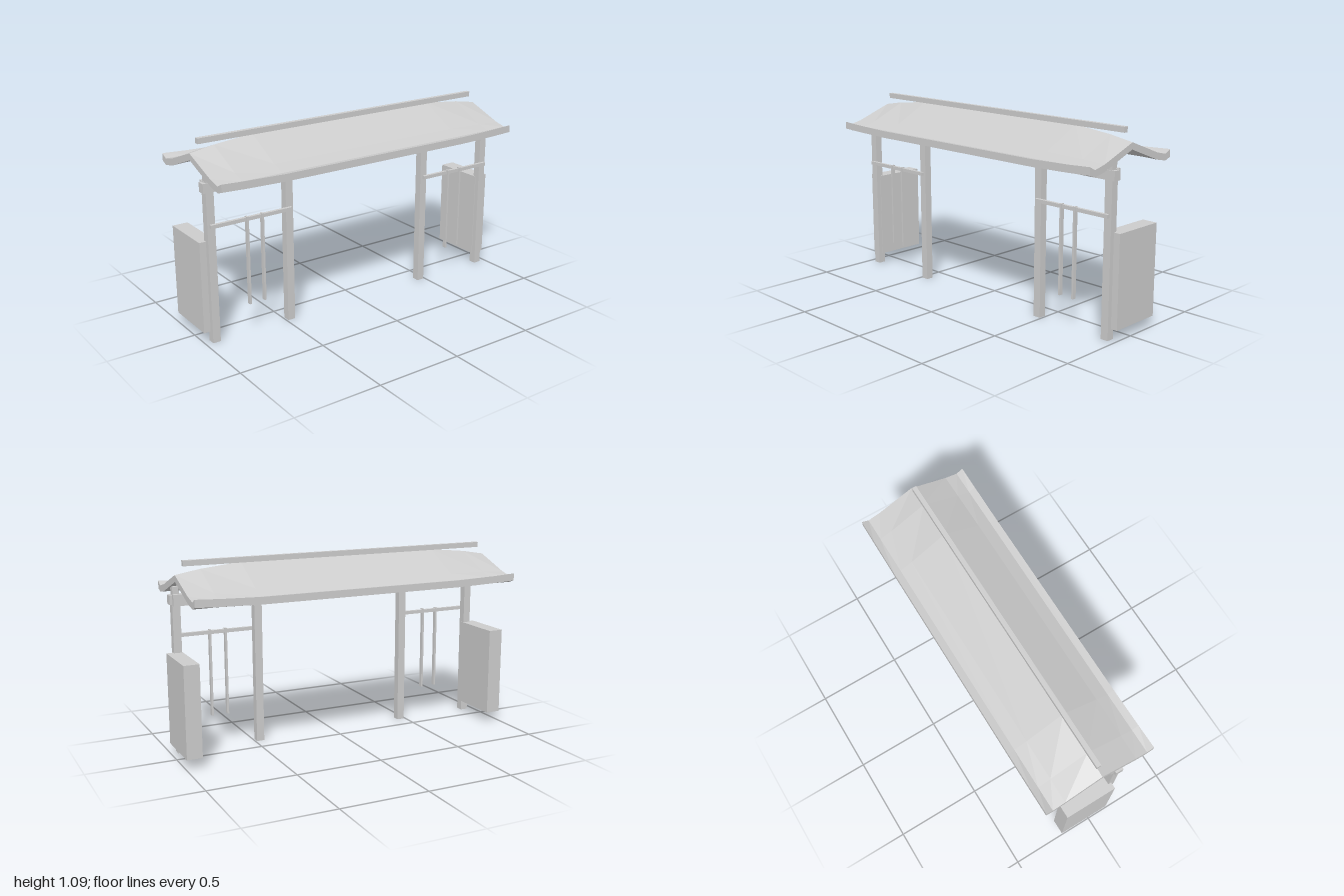
import * as THREE from 'three';

export function createModel() {
  const model = new THREE.Group();
  const grey = new THREE.MeshStandardMaterial({ color: 0xcccccc, flatShading: true });
  grey.name = 'plain grey';

  // Box given by its minimum and maximum corners
  function box(name, x0, x1, y0, y1, z0, z1) {
    const mesh = new THREE.Mesh(new THREE.BoxGeometry(x1 - x0, y1 - y0, z1 - z0), grey);
    mesh.position.set((x0 + x1) / 2, (y0 + y1) / 2, (z0 + z1) / 2);
    mesh.name = name;
    model.add(mesh);
  }

  // Box centred on x
  const bar = (name, x, width, ...rest) => box(name, x - width / 2, x + width / 2, ...rest);

  for (const s of [-1, 1]) {
    // Posts, with a narrower neck up to the roof
    for (const x of [0.939, 0.468]) {
      bar('post', s * x, 0.045, 0, 0.89, 0.0985, 0.142);
      bar('postNeck', s * x, 0.036, 0.89, 0.94, 0.102, 0.139);
    }
    bar('endBlock', s * 0.939, 0.073, 0.843, 0.895, 0.098, 0.143);

    // Rail between the posts with two hanging slats
    bar('rail', s * 0.705, 0.488, 0.652, 0.672, 0.141, 0.159);
    for (const x of [0.738, 0.646]) bar('slat', s * x, 0.012, 0.177, 0.677, 0.143, 0.165);

    // Side panel
    bar('sidePanel', s * 0.956, 0.088, 0.06, 0.575, -0.193, 0.117);
  }

  // Long beam behind the posts and pole above the ridge
  bar('beam', 0, 1.92, 0.837, 0.9, 0.078, 0.12);
  bar('ridgePole', 0, 1.855, 1.064, 1.094, -0.013, 0.013);

  // Roof sections: ridge dips and eaves lift towards the ends (t = 0 middle, 1 end)
  const mix = THREE.MathUtils.lerp;
  function section(t) {
    return [ // z, top y, bottom y
      [0, mix(1.067, 1.02, t), mix(1.03, 0.983, t)],
      [0.217, mix(0.953, 0.939, t), mix(0.915, 0.901, t)],
      [0.29, 0.922, 0.886],
      [0.33, mix(0.928, 0.942, t), mix(0.888, 0.9, t)],
    ];
  }
  function ring(x, t) {
    const half = section(t);
    const across = [
      ...half.slice(1).reverse().map(([z, a, b]) => [-z, a, b]),
      ...half,
    ];
    return across.map(([z, a, b]) => ({
      top: [x, a, z],
      low: [x, b, z],
    }));
  }
  const stations = [[-0.97, 1], [-0.83, 0.5], [-0.6, 0], [0.6, 0], [0.83, 0.5], [0.97, 1]];
  const rings = stations.map(([x, t]) => ring(x, t));
  const pos = [];
  const quad = (a, b, c, d) => pos.push(...a, ...b, ...c, ...a, ...c, ...d);
  const n = rings[0].length;
  for (let i = 0; i < rings.length - 1; i++) {
    const A = rings[i], B = rings[i + 1];
    for (let j = 0; j < n - 1; j++) {
      quad(A[j].top, A[j + 1].top, B[j + 1].top, B[j].top);
      quad(A[j].low, B[j].low, B[j + 1].low, A[j + 1].low);
    }
    // Eave edges, back then front
    quad(A[0].low, A[0].top, B[0].top, B[0].low);
    quad(A[n - 1].low, B[n - 1].low, B[n - 1].top, A[n - 1].top);
  }
  // Gable ends
  const L = rings[0], R = rings[rings.length - 1];
  for (let j = 0; j < n - 1; j++) {
    quad(L[j].low, L[j + 1].low, L[j + 1].top, L[j].top);
    quad(R[j].low, R[j].top, R[j + 1].top, R[j + 1].low);
  }
  const roofGeometry = new THREE.BufferGeometry();
  roofGeometry.setAttribute('position', new THREE.Float32BufferAttribute(pos, 3));
  roofGeometry.computeVertexNormals();
  const roof = new THREE.Mesh(roofGeometry, grey);
  roof.name = 'roof';
  model.add(roof);

  return model;
}
